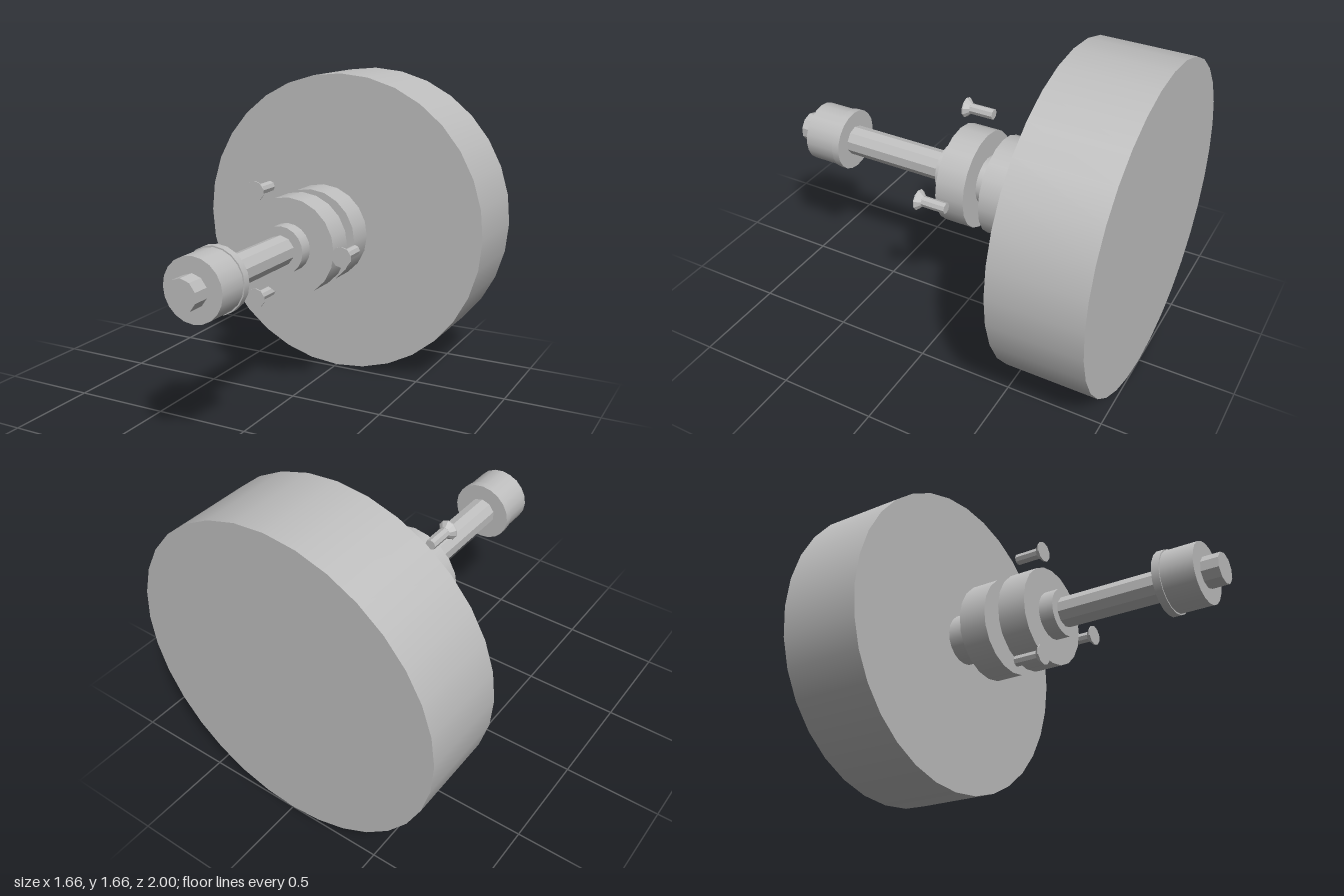
import * as THREE from 'three';

const AXIS_Y = 0.835;

export function createModel() {
  const group = new THREE.Group();
  const grey = new THREE.MeshStandardMaterial({ color: 0xbfbfbf });
  grey.name = 'machined grey';

  // Cylinder along z from z0 (back) to z1 (front)
  function disc(name, r, z0, z1, sides, { x = 0, y = 0, rFront = r } = {}) {
    let geo = new THREE.CylinderGeometry(rFront, r, z1 - z0, sides);
    geo.rotateX(Math.PI / 2);
    // Few-sided parts keep visible facets
    if (sides <= 10) {
      geo = geo.toNonIndexed();
      geo.computeVertexNormals();
    }
    const mesh = new THREE.Mesh(geo, grey);
    mesh.name = name;
    mesh.position.set(x, y, (z0 + z1) / 2);
    return mesh;
  }

  const axle = new THREE.Group();
  axle.name = 'axleAssembly';
  axle.position.y = AXIS_Y;
  group.add(axle);

  // Large rear wheel, separated from the hub by a narrow gap
  axle.add(disc('wheel', 0.83, -1, -0.53, 32));

  // Hub with two flanges
  axle.add(
    disc('rearBoss', 0.135, -0.51, -0.345, 20),
    disc('rearFlange', 0.257, -0.345, -0.19, 20),
    disc('hubCore', 0.125, -0.19, 0.13, 20),
    disc('frontFlange', 0.257, -0.105, 0.05, 20)
  );

  // Shaft carrying a lipped bushing near its front end
  axle.add(
    disc('shaft', 0.079, 0.13, 1, 10),
    disc('bushing', 0.156, 0.74, 0.91, 20),
    disc('bushingLip', 0.163, 0.7, 0.74, 20)
  );

  // Three countersunk screws around the hub
  for (let i = 0; i < 3; i++) {
    const a = (i * Math.PI * 2) / 3;
    const at = { x: 0.325 * Math.cos(a), y: 0.325 * Math.sin(a) };
    const screw = new THREE.Group();
    screw.name = 'screw' + (i + 1);
    screw.add(
      disc('screwShank', 0.028, -0.053, 0.078, 8, at),
      disc('screwHeadTaper', 0.028, 0.075, 0.1, 10, { ...at, rFront: 0.053 }),
      disc('screwHeadRim', 0.053, 0.1, 0.106, 10, at)
    );
    axle.add(screw);
  }

  return group;
}
